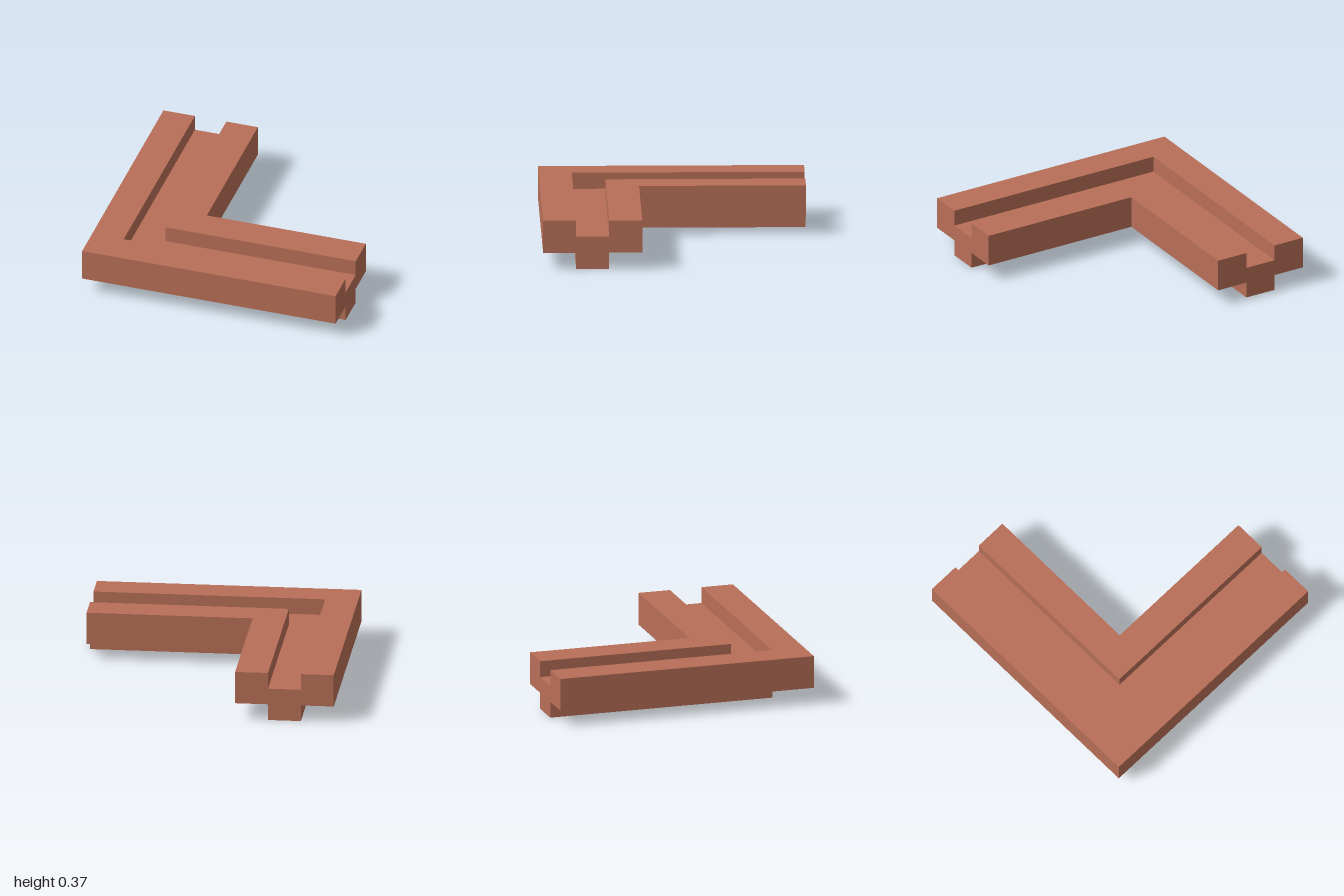
import * as THREE from 'three';

// Moulding cross-section on a grid of U: [distance in from the outer wall, height]
const U = 0.1242;
const PROFILE = [
  [0, 1], [2, 1], [2, 0], [4, 0], [4, 1], [6, 1], // underside with the rib
  [6, 3], [4, 3], [4, 2], [2, 2], [2, 3], [0, 3], // top with the groove
].map(([d, y]) => new THREE.Vector2(d * U, y * U));

// Back end, mitred corner, side end
const STATIONS = [
  ({ x: d, y }) => [-1 + d, y, -1],
  ({ x: d, y }) => [-1 + d, y, 1 - d],
  ({ x: d, y }) => [1, y, 1 - d],
];

function mitredSweep(profile, stations) {
  const pos = [];
  const tri = (...points) => points.forEach((p) => pos.push(...p));

  // Long faces of each leg
  for (let s = 0; s < stations.length - 1; s++) {
    const from = stations[s], to = stations[s + 1];
    profile.forEach((a, i) => {
      const b = profile[(i + 1) % profile.length];
      tri(from(a), from(b), to(b));
      tri(from(a), to(b), to(a));
    });
  }

  // End caps
  const first = stations[0], last = stations[stations.length - 1];
  for (const [a, b, c] of THREE.ShapeUtils.triangulateShape(profile, [])) {
    tri(last(profile[a]), last(profile[b]), last(profile[c]));
    tri(first(profile[c]), first(profile[b]), first(profile[a]));
  }

  const geometry = new THREE.BufferGeometry();
  geometry.setAttribute('position', new THREE.Float32BufferAttribute(pos, 3));
  geometry.computeVertexNormals();
  return geometry;
}

export function createModel() {
  const group = new THREE.Group();
  group.name = 'cornerMoulding';

  const terracotta = new THREE.MeshStandardMaterial({ color: 0xb86f57 });
  terracotta.name = 'terracotta';

  const corner = new THREE.Mesh(mitredSweep(PROFILE, STATIONS), terracotta);
  corner.name = 'groovedCorner';
  group.add(corner);
  return group;
}
